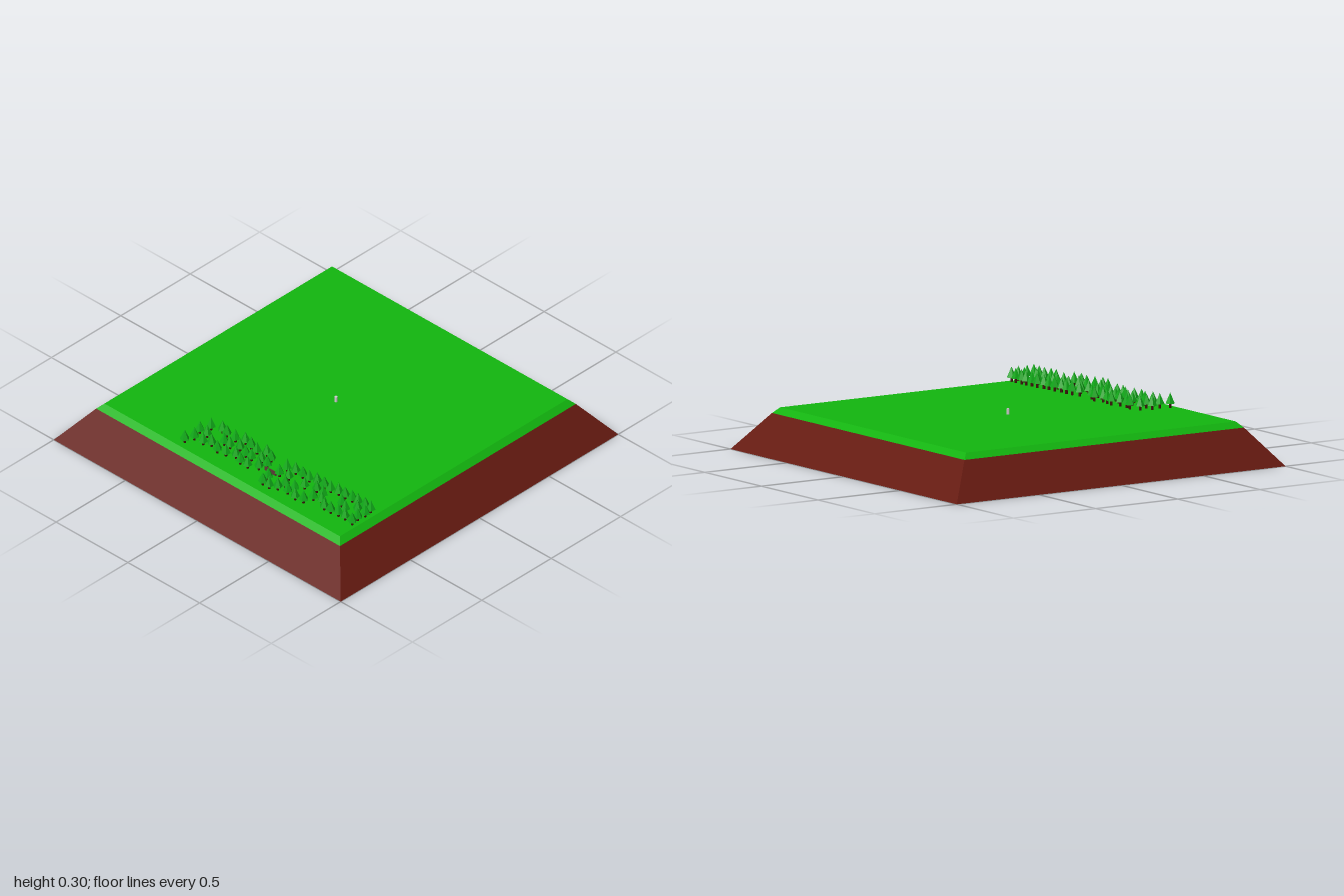
import * as THREE from 'three';

const material = (color) => new THREE.MeshStandardMaterial({ color, flatShading: true });

// Square block whose sides slope inwards from half-width a to half-width b
function frustum(name, a, b, y0, y1, mat) {
  const g = new THREE.CylinderGeometry(b * Math.SQRT2, a * Math.SQRT2, y1 - y0, 4);
  g.rotateY(Math.PI / 4);
  g.translate(0, (y0 + y1) / 2, 0);
  const mesh = new THREE.Mesh(g, mat);
  mesh.name = name;
  return mesh;
}

// Tree positions as x, z pairs
const backGrove = [
  -.78, -.30, -.73, -.28, -.67, -.30, -.61, -.28, -.73, -.22, -.67, -.25, -.59, -.22,
  -.71, -.18, -.60, -.18, -.73, -.12, -.66, -.14, -.60, -.12, -.72, -.07, -.66, -.10,
  -.58, -.07, -.70, -.02, -.64, -.05, -.59, -.02, -.66, .01, -.72, .03, -.66, .05,
  -.60, .03, -.72, .08, -.58, .08, -.64, .10, -.69, .13, -.60, .13, -.65, .15,
];
const frontGrove = [
  -.77, .235, -.72, .225, -.66, .245, -.60, .24, -.77, .28, -.65, .30, -.59, .29,
  -.75, .32, -.71, .335, -.59, .34, -.74, .38, -.70, .39, -.59, .385, -.65, .41,
  -.75, .44, -.58, .43, -.63, .475, -.58, .48, -.74, .49, -.69, .51, -.64, .53,
  -.58, .525, -.68, .56, -.57, .57, -.71, .605, -.57, .615, -.71, .65, -.63, .65,
  -.565, .66, -.70, .695, -.65, .695, -.565, .70, -.70, .74, -.61, .74, -.565, .75,
  -.705, .795, -.66, .79, -.61, .795, -.565, .79,
];

export function createModel() {
  const model = new THREE.Group();
  const earth = material(0x661a10);
  const grass = material(0x12b40f);
  const bark = material(0x3a1408);
  const leaves = material(0x10a818);

  // Sloped earth mound with a bevelled turf slab
  model.add(frustum('earthBase', 1, 0.85, 0, 0.19, earth));
  model.add(frustum('grassTop', 0.85, 0.82, 0.19, 0.22, grass));

  // Conifers: short trunk under a five-sided cone
  const trunkGeo = new THREE.CylinderGeometry(0.007, 0.007, 0.03, 5).translate(0, 0.23, 0);
  const crownGeo = new THREE.ConeGeometry(0.025, 0.055, 5).translate(0, 0.27, 0);
  const plant = (name, spots) => {
    const grove = new THREE.Group();
    grove.name = name;
    for (let i = 0; i < spots.length; i += 2) {
      const tree = new THREE.Group();
      tree.name = 'tree';
      const trunk = new THREE.Mesh(trunkGeo, bark);
      trunk.name = 'trunk';
      const crown = new THREE.Mesh(crownGeo, leaves);
      crown.name = 'crown';
      tree.add(trunk, crown);
      tree.position.set(spots[i], 0, spots[i + 1]);
      tree.rotation.y = i * 0.7;
      grove.add(tree);
    }
    model.add(grove);
  };
  plant('backGrove', backGrove);
  plant('frontGrove', frontGrove);

  // Grey marker post in the middle of the field
  const post = new THREE.Mesh(new THREE.CylinderGeometry(0.008, 0.008, 0.03, 8), material(0xcccccc));
  post.name = 'markerPost';
  post.position.y = 0.235;
  model.add(post);

  // Thin low board in the gap between the groves
  const board = new THREE.Mesh(new THREE.BoxGeometry(0.004, 0.024, 0.08), material(0x5a3a34));
  board.name = 'lowBoard';
  board.position.set(-0.67, 0.232, 0.19);
  model.add(board);

  return model;
}
